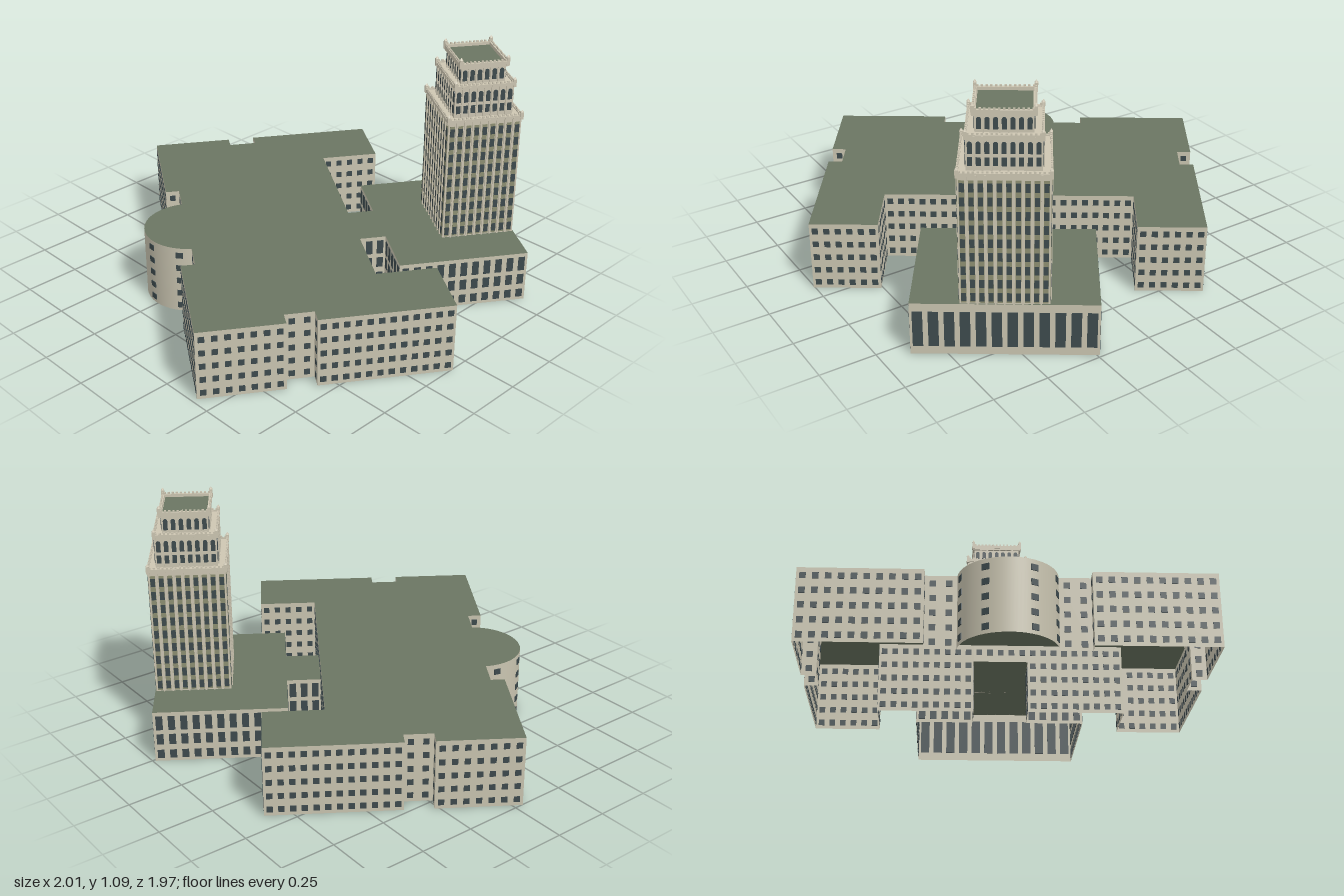
import * as THREE from 'three';
import { mergeGeometries } from 'three/addons/utils/BufferGeometryUtils.js';

const paint = (color, side = THREE.FrontSide) => new THREE.MeshStandardMaterial({ color, side });
const MATS = {
  wall: paint(0xc9c4b0, THREE.DoubleSide),
  roof: paint(0x6b7562, THREE.DoubleSide),
  stone: paint(0xcdc6b2),
  spandrel: paint(0x8d8f72),
  glass: paint(0x3d4a4d),
};

// Collects geometries by name and merges each set into one mesh
function makeBatch(groupName) {
  const sets = {};
  return {
    add(name, mat, geo) {
      (sets[name] ??= { mat, list: [] }).list.push(geo.index ? geo.toNonIndexed() : geo);
    },
    build() {
      const group = new THREE.Group();
      group.name = groupName;
      for (const [name, { mat, list }] of Object.entries(sets)) {
        const mesh = new THREE.Mesh(mergeGeometries(list), MATS[mat]);
        mesh.name = name;
        group.add(mesh);
      }
      return group;
    },
  };
}

const box = (w, h, d, x, y, z) => new THREE.BoxGeometry(w, h, d).translate(x, y, z);

// A wall between two plan points; place() sets a geometry on it at distance s and height y
function wallLine([ax, az], [bx, bz]) {
  const length = Math.hypot(bx - ax, bz - az);
  const dx = (bx - ax) / length, dz = (bz - az) / length;
  const angle = Math.atan2(-dz, dx);
  return {
    length,
    place: (geo, s, y) => geo.rotateY(angle).translate(ax + dx * s, y, az + dz * s),
  };
}

function addWall(batch, a, b, y0, y1) {
  const line = wallLine(a, b);
  batch.add('walls', 'wall', line.place(new THREE.PlaneGeometry(line.length, y1 - y0), line.length / 2, (y0 + y1) / 2));
  return line;
}

// Rows of windows as [centre height, window height]; boxes show on both wall sides
function addWindows(batch, line, rows, pitch, width) {
  const n = Math.max(1, Math.floor(line.length / pitch + 0.1));
  const step = line.length / n;
  for (let i = 0; i < n; i++) {
    for (const [y, h] of rows) {
      batch.add('windows', 'glass', line.place(new THREE.BoxGeometry(width, h, 0.004), (i + 0.5) * step, y));
    }
  }
}

function flatRoof(points, y) {
  const shape = new THREE.Shape(points.map(([x, z]) => new THREE.Vector2(x, -z)));
  return new THREE.ShapeGeometry(shape).rotateX(-Math.PI / 2).translate(0, y, 0);
}

const CX = 0.036; // symmetry axis of the plan
const mirrorPlan = (half) => [
  ...half.map(([x, z]) => [CX - x, z]),
  ...half.slice().reverse().map(([x, z]) => [CX + x, z]),
];

const MAIN_H = 0.32, REAR_H = 0.24;
const BAY = { r: 0.206, z: 0.508, start: 0.078 };

function mainBuilding() {
  const batch = makeBatch('mainBuilding');
  const rows = [0.03, 0.093, 0.157, 0.221, 0.285].map((y) => [y, 0.027]);
  // Half plan from the bay round to the rear link
  const half = [
    [0.205, 0.524], [0.338, 0.524], [0.338, 0.586], [0.85, 0.586], [0.85, 0.218], [0.787, 0.218],
    [0.787, 0.091], [0.85, 0.091], [0.85, -0.484], [0.554, -0.484], [0.554, -0.217], [0.123, -0.217],
  ];
  const plan = mirrorPlan(half);
  plan.slice(0, -1).forEach((p, i) => {
    const overLink = i === half.length - 1;
    const line = addWall(batch, p, plan[i + 1], overLink ? REAR_H : 0, MAIN_H);
    addWindows(batch, line, overLink ? rows.slice(4) : rows, 0.047, 0.026);
  });

  // Round front bay
  const sweep = Math.PI - 2 * BAY.start;
  const bayWall = new THREE.CylinderGeometry(BAY.r, BAY.r, MAIN_H, 40, 1, true, -sweep / 2, sweep);
  batch.add('bayWall', 'wall', bayWall.translate(CX, MAIN_H / 2, BAY.z));
  for (const deg of [-70, -28, 28, 70]) {
    for (const [y, h] of rows) {
      const pane = new THREE.BoxGeometry(0.032, h, 0.006).translate(0, 0, BAY.r);
      batch.add('bayWindows', 'glass', pane.rotateY(THREE.MathUtils.degToRad(deg)).translate(CX, y, BAY.z));
    }
  }

  // One roof over wings and bay
  const arc = [];
  for (let i = 0; i <= 40; i++) {
    const t = sweep / 2 - (sweep * i) / 40;
    arc.push([CX + BAY.r * Math.sin(t), BAY.z + BAY.r * Math.cos(t)]);
  }
  batch.add('roof', 'roof', flatRoof([...plan, ...arc], MAIN_H));
  return batch.build();
}

function rearBlock() {
  const batch = makeBatch('rearBlock');
  const half = [[0.123, -0.217], [0.123, -0.37], [0.382, -0.37], [0.382, -0.957]];
  const plan = mirrorPlan(half);
  const rows = [[0.035, 0.04], [0.108, 0.05], [0.188, 0.068]];
  plan.slice(0, -1).forEach((p, i) => {
    const line = addWall(batch, p, plan[i + 1], 0, REAR_H);
    // Tall hall windows along the back, three storeys elsewhere
    if (i === half.length - 1) addWindows(batch, line, [[0.12, 0.165]], 0.064, 0.042);
    else addWindows(batch, line, rows, 0.05, 0.03);
  });
  batch.add('roof', 'roof', flatRoof(plan, REAR_H));
  return batch.build();
}

function archedPane(w, h) {
  const shape = new THREE.Shape();
  shape.moveTo(-w / 2, 0).lineTo(w / 2, 0).lineTo(w / 2, h - w / 2);
  shape.absarc(0, h - w / 2, w / 2, 0, Math.PI, false);
  return new THREE.ExtrudeGeometry(shape, { depth: 0.003, bevelEnabled: false, curveSegments: 5 });
}

const TZ = -0.786; // tower centre

// The four faces of a tower tier, running so that local +z points outward
function tierFaces(hx, hz) {
  const c = [[CX - hx, TZ + hz], [CX + hx, TZ + hz], [CX + hx, TZ - hz], [CX - hx, TZ - hz]];
  return c.map((p, i) => wallLine(p, c[(i + 1) % 4]));
}

// Cornice band, small battlements and corner pinnacles
function addCrown(batch, hx, hz, y, spike) {
  for (const line of tierFaces(hx, hz)) {
    batch.add('cornices', 'stone', line.place(new THREE.BoxGeometry(line.length + 0.01, 0.014, 0.01), line.length / 2, y - 0.007));
    const n = Math.round(line.length / 0.018);
    for (let i = 0; i < n; i++) {
      batch.add('battlements', 'stone', line.place(new THREE.BoxGeometry(0.009, 0.008, 0.006), ((i + 0.5) * line.length) / n, y + 0.004));
    }
    batch.add('pinnacles', 'stone', line.place(new THREE.BoxGeometry(0.014, spike + 0.02, 0.014), 0, y + spike / 2 - 0.01));
    batch.add('pinnacles', 'stone', line.place(new THREE.ConeGeometry(0.008, 0.012, 4), 0, y + spike + 0.006));
  }
}

function tower() {
  const batch = makeBatch('tower');
  const tiers = [
    { hx: 0.18, hz: 0.166, y0: REAR_H, y1: 0.82 },
    { hx: 0.147, hz: 0.133, y0: 0.82, y1: 0.965 },
    { hx: 0.113, hz: 0.1, y0: 0.965, y1: 1.046 },
  ];
  tiers.forEach(({ hx, hz, y0, y1 }, level) => {
    const h = y1 - y0;
    batch.add('tiers', 'stone', box(hx * 2, h, hz * 2, CX, (y0 + y1) / 2, TZ));
    for (const line of tierFaces(hx, hz)) {
      const n = Math.round(line.length / [0.037, 0.034, 0.034][level]);
      const step = line.length / n;
      for (let i = 0; i < n; i++) {
        const s = (i + 0.5) * step;
        if (level === 0) {
          // Window strip between pilasters, nine storeys
          batch.add('spandrels', 'spandrel', line.place(new THREE.BoxGeometry(0.022, h - 0.03, 0.003), s, y0 + h / 2 - 0.01));
          for (let f = 0; f < 9; f++) {
            batch.add('windows', 'glass', line.place(new THREE.BoxGeometry(0.02, 0.038, 0.006), s, y0 + 0.032 + f * 0.0615));
          }
        } else {
          const low = level === 1 ? 0.072 : 0.014;
          batch.add('archedWindows', 'glass', line.place(archedPane(0.019, 0.05), s, y0 + low));
          if (level === 1) batch.add('windows', 'glass', line.place(new THREE.BoxGeometry(0.019, 0.036, 0.006), s, y0 + 0.038));
        }
        if (i > 0) {
          batch.add('pilasters', 'stone', line.place(new THREE.BoxGeometry(0.007, h, 0.012), i * step, y0 + h / 2));
        }
      }
    }
    if (level < 2) addCrown(batch, hx, hz, y1 + 0.006, 0.014);
  });

  // Parapet flaring out around the sunken top roof
  for (const line of tierFaces(0.117, 0.104)) {
    batch.add('parapet', 'stone', line.place(new THREE.BoxGeometry(line.length + 0.012, 0.024, 0.012), line.length / 2, 1.05));
  }
  addCrown(batch, 0.119, 0.106, 1.062, 0.018);
  batch.add('topRoof', 'roof', box(0.216, 0.004, 0.19, CX, 1.048, TZ));
  return batch.build();
}

export function createModel() {
  const model = new THREE.Group();
  model.name = 'towerBuilding';
  model.add(mainBuilding(), rearBlock(), tower());
  model.rotation.y = THREE.MathUtils.degToRad(-33.56);
  return model;
}
